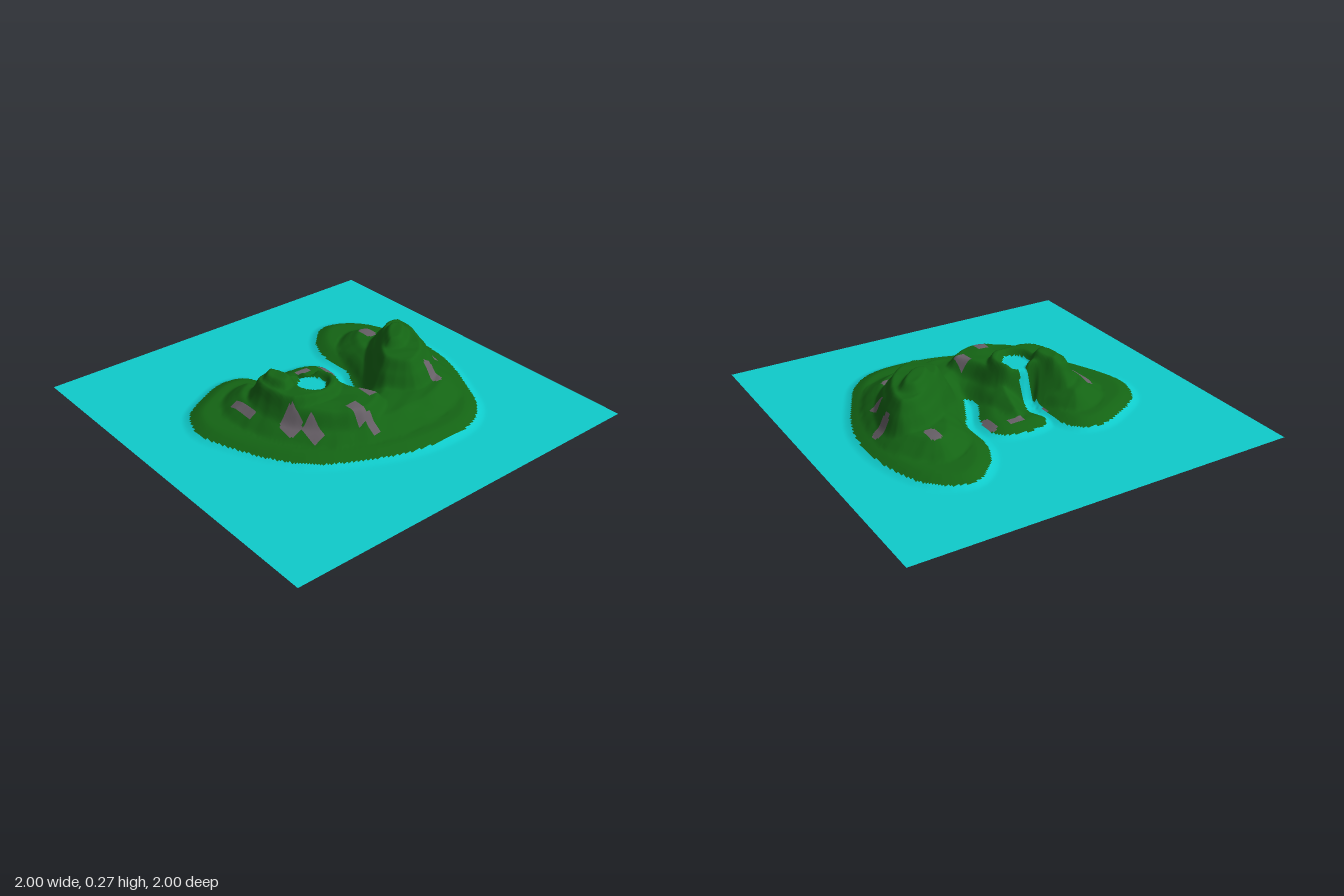
import * as THREE from 'three';

// Closed outlines as x, z pairs
const COAST = [-0.69, -0.15, -0.63, -0.31, -0.5, -0.4, -0.34, -0.465, -0.22, -0.44, -0.17, -0.34, -0.17, -0.1, -0.13, -0.1,
  -0.1, -0.18, -0.13, -0.27, -0.08, -0.335, 0.1, -0.33, 0.165, -0.27, 0.16, -0.15, 0.08, 0.02, 0.1, 0.1, 0.19, -0.06,
  0.24, -0.16, 0.25, -0.37, 0.34, -0.53, 0.47, -0.61, 0.64, -0.52, 0.74, -0.25, 0.73, 0.06, 0.6, 0.37, 0.5, 0.53,
  0.35, 0.62, 0.05, 0.62, -0.23, 0.52, -0.46, 0.37, -0.62, 0.1];
const FOOTHILLS = [-0.51, -0.14, -0.42, -0.29, -0.28, -0.32, -0.19, -0.13, -0.11, -0.08, 0, -0.23, 0.04, -0.03, 0.1, 0.16,
  0.22, -0.02, 0.35, -0.33, 0.5, -0.41, 0.65, -0.25, 0.66, 0.04, 0.51, 0.37, 0.36, 0.46, 0, 0.48, -0.28, 0.38, -0.46, 0.13];
const WEST_HILL = [-0.41, -0.1, -0.31, -0.19, -0.2, -0.09, -0.03, 0, 0.02, 0.15, 0.08, 0.3, -0.12, 0.39, -0.36, 0.18];
const WEST_SUMMIT = [-0.37, -0.12, -0.27, -0.15, -0.07, -0.04, -0.04, 0.1, -0.12, 0.18, -0.34, 0.14];
const WEST_CRAG = [-0.34, -0.08, -0.27, -0.13, -0.24, 0, -0.31, 0.04];
const EAST_HILL = [0.17, 0.14, 0.26, -0.02, 0.48, -0.2, 0.62, -0.17, 0.62, 0.02, 0.47, 0.25, 0.28, 0.31];
const EAST_PEAK = [0.32, 0.07, 0.46, -0.07, 0.51, -0.03, 0.38, 0.1];
const LAKE = [-0.22, 0.01, -0.12, -0.02, -0.09, 0.07, -0.16, 0.13, -0.22, 0.09];
const LAKE_Y = 0.17;

// Bare rock patches: x, z, radius x, radius z
const ROCKS = [
  [-0.46, -0.1, 0.02, 0.085], [-0.38, 0.17, 0.04, 0.05], [-0.33, 0.27, 0.035, 0.05], [-0.12, 0.34, 0.035, 0.05],
  [-0.09, 0.41, 0.025, 0.04], [0.03, 0.25, 0.035, 0.045], [0.03, -0.26, 0.04, 0.025], [0.15, -0.21, 0.02, 0.06],
  [0.49, -0.28, 0.03, 0.05], [0.65, -0.07, 0.04, 0.03], [0.59, 0.1, 0.02, 0.045], [0.43, 0.28, 0.03, 0.05],
  [-0.16, -0.19, 0.025, 0.04],
];

function smoothOutline(pairs) {
  const points = [];
  for (let i = 0; i < pairs.length; i += 2) points.push(new THREE.Vector3(pairs[i], 0, pairs[i + 1]));
  return new THREE.CatmullRomCurve3(points, true).getPoints(points.length * 4);
}

// Distance to a closed outline, positive inside
function insideDistance(line, x, z) {
  let best = Infinity, inside = false;
  for (let i = 0; i < line.length - 1; i++) {
    const a = line[i], b = line[i + 1], dx = b.x - a.x, dz = b.z - a.z;
    const t = THREE.MathUtils.clamp(((x - a.x) * dx + (z - a.z) * dz) / (dx * dx + dz * dz), 0, 1);
    best = Math.min(best, Math.hypot(x - a.x - t * dx, z - a.z - t * dz));
    if ((a.z > z) !== (b.z > z) && x < a.x + (z - a.z) / dz * dx) inside = !inside;
  }
  return inside ? best : -best;
}

const isRock = (x, z) => ROCKS.some(([cx, cz, rx, rz]) => ((x - cx) / rx) ** 4 + ((z - cz) / rz) ** 4 < 1);

// Stream from the lake over the cliff to the inlet
const inStream = (x, z) => z < 0.03 && z > -0.2 && Math.abs(x + 0.155 + 0.125 * z) < 0.024;

export function createModel() {
  const group = new THREE.Group();
  const { smoothstep, lerp } = THREE.MathUtils;
  const coast = smoothOutline(COAST), lake = smoothOutline(LAKE);

  // Each landform: outline, then steps of rise, slope start and slope end measured inward from it
  const landforms = [
    [FOOTHILLS, [0.035, -0.03, 0.04], [0.03, 0.02, 0.09]],
    [WEST_HILL, [0.06, -0.02, 0.04]],
    [WEST_SUMMIT, [0.04, -0.015, 0.02]],
    [WEST_CRAG, [0.032, -0.015, 0.02]],
    [EAST_HILL, [0.065, -0.02, 0.04], [0.055, 0.03, 0.08]],
    [EAST_PEAK, [0.04, -0.025, 0.02]],
  ].map(([outline, ...steps]) => ({ line: smoothOutline(outline), steps }));

  function height(x, z) {
    const shore = insideDistance(coast, x, z);
    let y = 0.04 * smoothstep(shore, -0.045, 0.075);
    for (const { line, steps } of landforms) {
      const d = insideDistance(line, x, z);
      for (const [rise, from, to] of steps) y += rise * smoothstep(d, from, to);
    }
    if (y > 0.04) y += 0.003 * Math.sin(x * 31 + 2 * Math.sin(z * 17)) * Math.sin(z * 27); // weathering
    y = Math.min(y, 0.02 + 3 * Math.max(shore, 0)); // steep banks beside the inlets
    y = lerp(y, LAKE_Y, smoothstep(insideDistance(lake, x, z), -0.025, 0.005));
    return inStream(x, z) ? Math.min(y, LAKE_Y * smoothstep(z, -0.15, -0.03)) : y;
  }

  // One height field over the whole square
  const N = 200;
  const field = new THREE.PlaneGeometry(2, 2, N, N).rotateX(-Math.PI / 2);
  const pos = field.attributes.position;
  for (let i = 0; i < pos.count; i++) pos.setY(i, height(pos.getX(i), pos.getZ(i)));
  field.computeVertexNormals();

  // Sort its cells into water, grass and rock
  const cells = { sea: [], grass: [], rock: [] };
  const index = field.index.array;
  for (let k = 0; k < index.length; k += 6) {
    const x = (pos.getX(index[k]) + pos.getX(index[k + 4])) / 2;
    const z = (pos.getZ(index[k]) + pos.getZ(index[k + 4])) / 2;
    const water = insideDistance(coast, x, z) < 0 || insideDistance(lake, x, z) > 0 || inStream(x, z);
    const part = water ? 'sea' : isRock(x, z) ? 'rock' : 'grass';
    cells[part].push(...index.slice(k, k + 6));
  }

  const colors = { sea: 0x0fcccc, grass: 0x146414, rock: 0x665f66 };
  for (const [name, list] of Object.entries(cells)) {
    const geometry = new THREE.BufferGeometry();
    geometry.setAttribute('position', pos);
    geometry.setAttribute('normal', field.attributes.normal);
    geometry.setIndex(list);
    const mesh = new THREE.Mesh(geometry, new THREE.MeshStandardMaterial({ color: colors[name], side: THREE.DoubleSide }));
    mesh.name = name;
    group.add(mesh);
  }
  return group;
}
